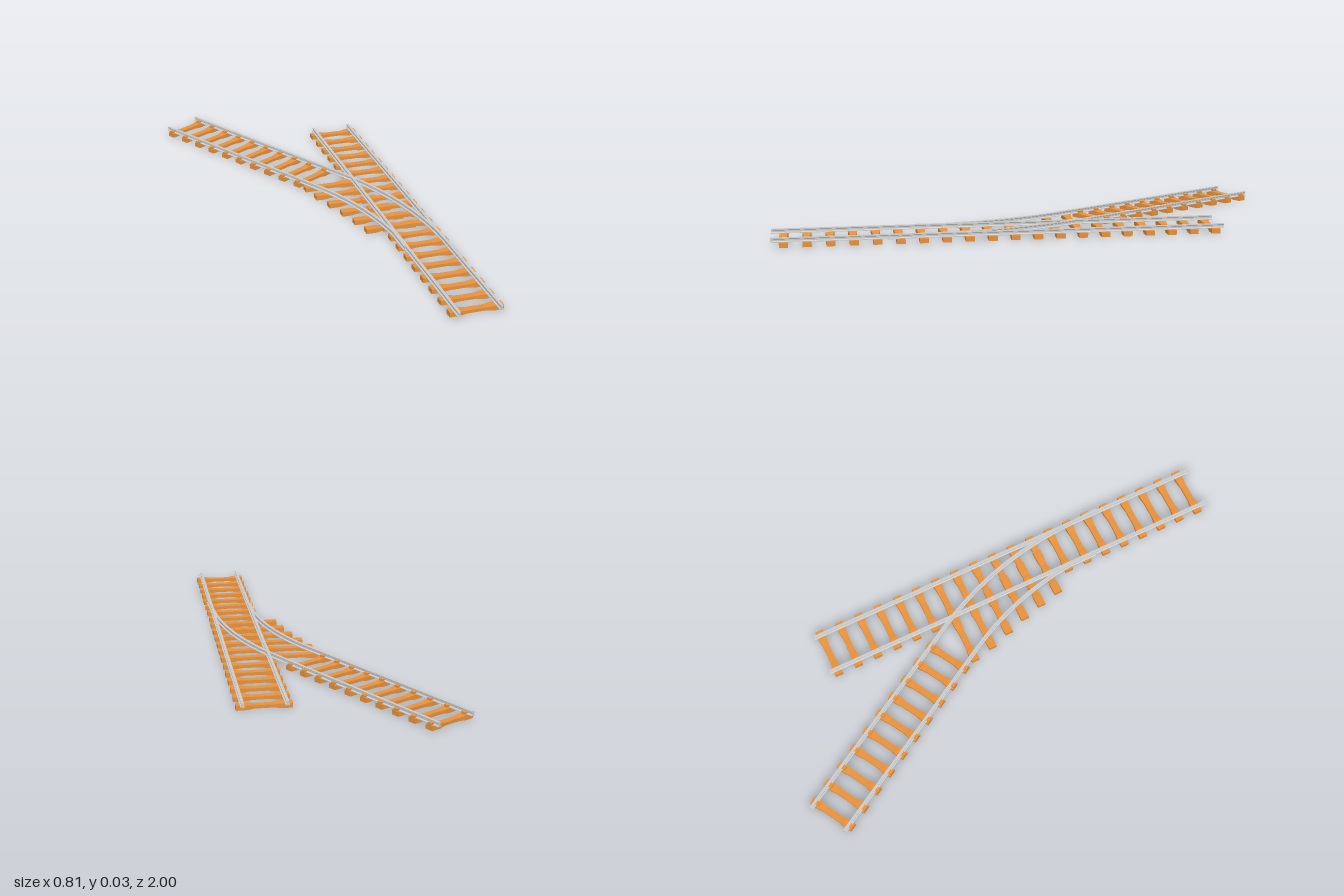
import * as THREE from 'three';

const wood = new THREE.MeshStandardMaterial({ color: 0xe8923c, flatShading: true });
const steel = new THREE.MeshStandardMaterial({ color: 0xcccccc, flatShading: true });

const HALF_GAUGE = 0.08, PITCH = 0.0857, TRACK_X = 0.3;
const ARC = { x: -1.0, z: 0.48, r: 1.3, turn: Math.PI / 6 };

// Rail section: half widths and heights of foot, web and head
const half = [[0.008, 0.017], [0.008, 0.0195], [0.0025, 0.022], [0.0025, 0.028], [0.0055, 0.03], [0.0055, 0.034]];
const section = [...half, ...half.map(([w, y]) => [-w, y]).reverse()].map(([x, y]) => new THREE.Vector2(x, y));

// Sweep the rail section along [x, z] points, keeping it upright
function railGeometry(path) {
  const rings = path.map(([x, z], i) => {
    const a = path[Math.max(i - 1, 0)], b = path[Math.min(i + 1, path.length - 1)];
    const dx = b[0] - a[0], dz = b[1] - a[1], l = Math.hypot(dx, dz);
    return section.map(p => [x - (dz / l) * p.x, p.y, z + (dx / l) * p.x]);
  });
  const pos = [];
  const tri = (a, b, c) => pos.push(...a, ...b, ...c);
  const n = section.length;
  for (let i = 0; i + 1 < rings.length; i++) {
    for (let j = 0; j < n; j++) {
      const k = (j + 1) % n, A = rings[i], B = rings[i + 1];
      tri(A[j], B[k], A[k]);
      tri(A[j], B[j], B[k]);
    }
  }
  const first = rings[0], last = rings[rings.length - 1];
  for (const [a, b, c] of THREE.ShapeUtils.triangulateShape(section, [])) {
    tri(first[a], first[b], first[c]);
    tri(last[a], last[c], last[b]);
  }
  const g = new THREE.BufferGeometry();
  g.setAttribute('position', new THREE.Float32BufferAttribute(pos, 3));
  g.computeVertexNormals();
  return g;
}

// Sleeper with square ends and a slimmer waist
function sleeperGeometry(length) {
  const g = new THREE.BoxGeometry(length, 0.018, 0.033, 24, 1, 1);
  const p = g.attributes.position;
  for (let i = 0; i < p.count; i++) {
    const t = THREE.MathUtils.smoothstep(Math.abs(p.getX(i)), 0.03, 0.066);
    p.setY(i, p.getY(i) * (0.66 + 0.34 * t) + 0.009);
    p.setZ(i, p.getZ(i) * (0.78 + 0.22 * t));
  }
  g.computeVertexNormals();
  return g;
}

export function createModel() {
  const model = new THREE.Group();
  const sleeperGeo = sleeperGeometry(0.204);
  const branchSleeperGeo = sleeperGeometry(0.194);
  const clipGeo = new THREE.BoxGeometry(0.032, 0.009, 0.018).translate(0, 0.0215, 0);

  const place = (geo, name, x, z, angle = 0) => {
    const m = new THREE.Mesh(geo, wood);
    m.name = name;
    m.position.set(x, 0, z);
    m.rotation.y = angle;
    model.add(m);
  };
  const addRail = (name, path) => {
    const m = new THREE.Mesh(railGeometry(path), steel);
    m.name = name;
    model.add(m);
  };

  // Straight track sleepers; those under the curve get a second, offset sleeper
  const offsets = [0.13, 0.11, 0.087, 0.06, 0.032, 0.013];
  for (let i = 0; i < 20; i++) {
    const z = 0.953 - i * PITCH;
    place(sleeperGeo, 'straightSleeper', TRACK_X, z);
    const left = offsets[i - 8];
    if (left !== undefined) place(sleeperGeo, 'turnoutSleeper', left + 0.102, z);
  }

  // Branch sleepers and rail clips, square to the diverging track
  const c = Math.cos(ARC.turn), sn = Math.sin(ARC.turn);
  const end = [-0.328, -0.955];
  for (let i = 0; i < 10; i++) {
    const d = 0.034 + i * PITCH;
    const x = end[0] + sn * d, z = end[1] + c * d;
    place(branchSleeperGeo, 'branchSleeper', x, z, ARC.turn);
    for (const s of [-1, 1]) {
      place(clipGeo, 'railClip', x + s * HALF_GAUGE * c, z - s * HALF_GAUGE * sn, ARC.turn);
    }
  }

  // Straight and diverging rails
  for (const s of [-1, 1]) {
    const x = TRACK_X + s * HALF_GAUGE;
    addRail('straightRail', [[x, 1], [x, -0.71]]);

    const r = ARC.r + s * HALF_GAUGE, start = s < 0 ? 0.1 : 0.07, steps = 20;
    const path = [s < 0 ? [0.214, 0.48] : [0.386, 0.57]];
    for (let i = 0; i <= steps; i++) {
      const a = THREE.MathUtils.lerp(start, ARC.turn, i / steps);
      path.push([ARC.x + r * Math.cos(a), ARC.z - r * Math.sin(a)]);
    }
    path.push([end[0] + s * HALF_GAUGE * c, end[1] - s * HALF_GAUGE * sn]);
    addRail('branchRail', path);
  }
  return model;
}
